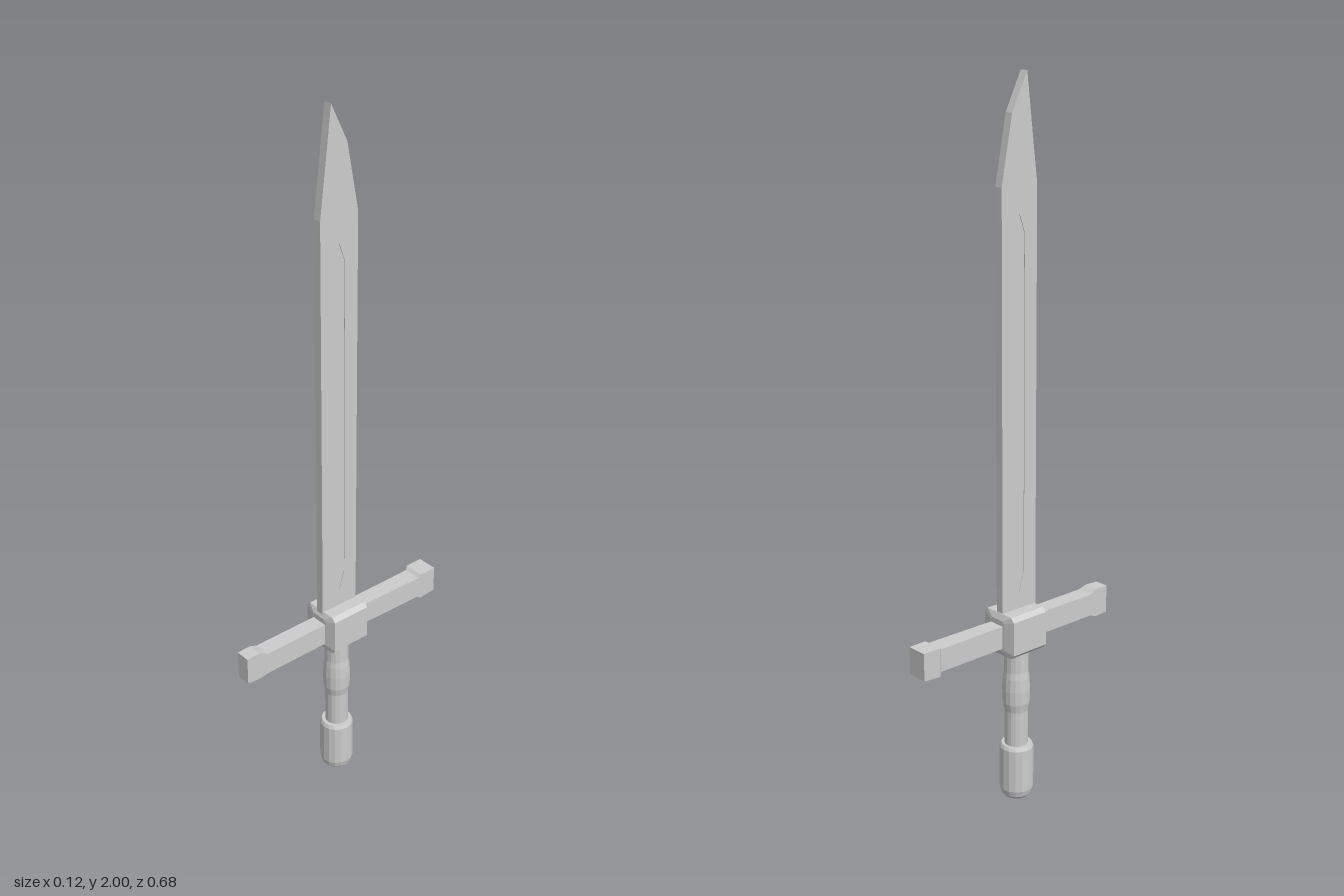
import * as THREE from 'three';

const material = new THREE.MeshStandardMaterial({ color: 0xcccccc, flatShading: true });

function add(group, name, geometry) {
  const mesh = new THREE.Mesh(geometry, material);
  mesh.name = name;
  group.add(mesh);
  return mesh;
}

// Joins chamfered rectangles along z; each section is [z, x0, x1, y0, y1, chamfer].
function loft(sections) {
  const rings = sections.map(([z, x0, x1, y0, y1, c = 0]) => {
    const ring = c
      ? [[x0 + c, y0], [x1 - c, y0], [x1, y0 + c], [x1, y1 - c],
         [x1 - c, y1], [x0 + c, y1], [x0, y1 - c], [x0, y0 + c]]
      : [[x0, y0], [x1, y0], [x1, y1], [x0, y1]];
    return ring.map(([x, y]) => [x, y, z]);
  });
  const positions = [];
  const tri = (a, b, c) => positions.push(...a, ...b, ...c);
  const n = rings[0].length;
  for (let s = 0; s < rings.length - 1; s++) {
    const a = rings[s], b = rings[s + 1];
    for (let i = 0; i < n; i++) {
      const j = (i + 1) % n;
      tri(a[i], a[j], b[j]);
      tri(a[i], b[j], b[i]);
    }
  }
  const first = rings[0], last = rings[rings.length - 1];
  for (let i = 1; i < n - 1; i++) {
    tri(first[0], first[i + 1], first[i]);
    tri(last[0], last[i], last[i + 1]);
  }
  const geometry = new THREE.BufferGeometry();
  geometry.setAttribute('position', new THREE.Float32BufferAttribute(positions, 3));
  geometry.computeVertexNormals();
  return geometry;
}

const outline = (points) => points.map(([z, y]) => new THREE.Vector2(z, y));

// A flat plate with the blade's outline, between x0 and x1.
function bladePlate(x0, x1, grooved) {
  const shape = new THREE.Shape(outline([
    [-0.05, 0.54], [0.07, 0.54], [0.07, 1.72], [0.035, 2], [-0.015, 1.9], [-0.05, 1.72],
  ]));
  if (grooved) {
    shape.holes.push(new THREE.Path(outline([
      [0.01, 0.62], [-0.008, 0.68], [-0.008, 1.6], [0.01, 1.65], [0.028, 1.6], [0.028, 0.68],
    ])));
  }
  const geometry = new THREE.ExtrudeGeometry(shape, { depth: x1 - x0, bevelEnabled: false });
  geometry.rotateY(-Math.PI / 2);
  geometry.translate(x1, 0, 0);
  return geometry;
}

export function createModel() {
  const model = new THREE.Group();
  model.name = 'sword';

  // Blade: a core with a shallow groove let into each face
  const blade = new THREE.Group();
  blade.name = 'blade';
  model.add(blade);
  add(blade, 'bladeCore', bladePlate(-0.01, 0.01, false));
  add(blade, 'bladeLeftFace', bladePlate(0.01, 0.012, true));
  add(blade, 'bladeRightFace', bladePlate(-0.012, -0.01, true));

  // Guard: a chamfered block and two arms with swollen ends
  add(model, 'guardBlock', loft([
    [-0.06, -0.027, 0.027, 0.467, 0.557, 0.006],
    [-0.052, -0.06, 0.06, 0.452, 0.573, 0.012],
    [0.066, -0.06, 0.06, 0.452, 0.573, 0.012],
    [0.075, -0.027, 0.027, 0.467, 0.557, 0.006],
  ]));
  add(model, 'frontGuardArm', loft([
    [0.05, -0.022, 0.027, 0.477, 0.542],
    [0.276, -0.022, 0.027, 0.477, 0.542],
    [0.298, -0.021, 0.022, 0.468, 0.552],
    [0.34, -0.021, 0.021, 0.47, 0.551],
  ]));
  add(model, 'backGuardArm', loft([
    [-0.338, -0.03, 0.03, 0.472, 0.55],
    [-0.285, -0.03, 0.03, 0.468, 0.55],
    [-0.275, -0.023, 0.03, 0.477, 0.542],
    [-0.04, -0.023, 0.025, 0.477, 0.542],
  ]));

  // Grip with a swelling in the middle
  const lathe = (points) => new THREE.LatheGeometry(outline(points), 16);
  add(model, 'grip', lathe([
    [0, 0.14], [0.033, 0.14], [0.033, 0.265], [0.038, 0.29],
    [0.039, 0.33], [0.037, 0.365], [0.034, 0.385], [0.034, 0.47], [0, 0.47],
  ])).position.z = 0.01;

  // Pommel
  add(model, 'pommel', lathe([
    [0, 0], [0.036, 0], [0.043, 0.008], [0.048, 0.026],
    [0.048, 0.152], [0.043, 0.162], [0, 0.162],
  ])).position.z = 0.011;

  return model;
}
